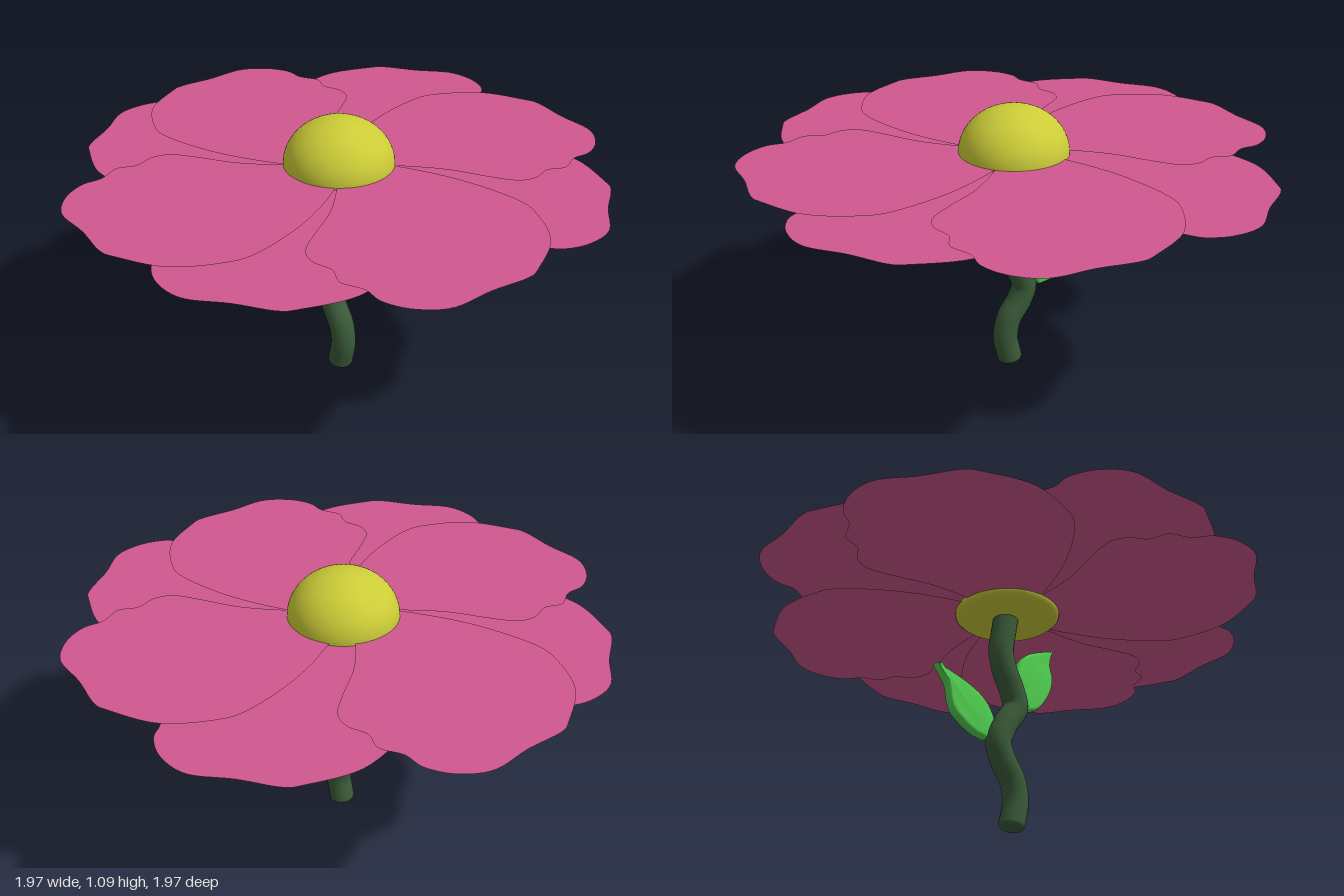
import * as THREE from 'three';
import { toCreasedNormals } from 'three/addons/utils/BufferGeometryUtils.js';

const mat = (color, side = THREE.FrontSide) => new THREE.MeshStandardMaterial({ color, side });
const petalMat = mat(0xd0588f, THREE.DoubleSide);
const centreMat = mat(0xcccc38);
const stemMat = mat(0x3a5a38);
const leafMat = mat(0x52d452);

const CX = 0.01, CZ = -0.01; // flower axis
const v2 = (pts) => pts.map(([x, y]) => new THREE.Vector2(x, y));

export function createModel() {
  const flower = new THREE.Group();
  flower.name = 'flower';
  const add = (name, geometry, material, parent = flower) => {
    const m = new THREE.Mesh(geometry, material);
    m.name = name;
    parent.add(m);
    return m;
  };

  // Petal: one ruffled, paper-thin outline, pointing away from the axis
  const petalShape = new THREE.Shape();
  petalShape.moveTo(0, -0.02);
  petalShape.splineThru(v2([
    [-0.125, 0.17], [-0.22, 0.385], [-0.265, 0.61], [-0.24, 0.73], [-0.14, 0.877],
    [0.02, 0.963], [0.09, 0.98], [0.23, 0.957], [0.38, 0.947], [0.475, 0.877],
    [0.52, 0.786], [0.516, 0.706], [0.548, 0.626], [0.52, 0.556], [0.537, 0.48],
    [0.51, 0.41], [0.42, 0.347], [0.286, 0.267], [0.152, 0.144], [0, -0.02],
  ]));
  const petalGeo = new THREE.ShapeGeometry(petalShape, 5).rotateX(-Math.PI / 2);

  // Two layers of four petals: [clockwise degrees, x shift, z shift]
  const layers = {
    upperPetals: { y: 0.912, set: [[0, 0, 0], [88, 0, -0.02], [176, 0.04, 0.01], [264, 0, 0.06]] },
    lowerPetals: { y: 0.904, set: [[45, 0, 0], [135, 0.01, -0.015], [225, 0.03, 0.01], [315, 0, 0]] },
  };
  for (const [name, { y, set }] of Object.entries(layers)) {
    const layer = new THREE.Group();
    layer.name = name;
    flower.add(layer);
    for (const [deg, dx, dz] of set) {
      const petal = add('petal', petalGeo, petalMat, layer);
      petal.position.set(CX + dx, y, CZ + dz);
      petal.rotation.y = -THREE.MathUtils.degToRad(deg);
    }
  }

  // Domed centre with a softly rounded underside
  const profile = [[0, 0.87], [0.1, 0.872], [0.17, 0.878], [0.195, 0.886], [0.206, 0.895]];
  for (let i = 0; i <= 16; i++) {
    const a = (i / 16) * Math.PI / 2;
    profile.push([0.208 * Math.cos(a), 0.908 + 0.178 * Math.sin(a)]);
  }
  profile[profile.length - 1][0] = 0;
  add('flowerCentre', new THREE.LatheGeometry(v2(profile), 48), centreMat).position.set(CX, 0, CZ);

  // Wavy stem with a rounded foot
  const stemZ = -0.005;
  const path = new THREE.CatmullRomCurve3([
    [0.028, 0.025], [0.046, 0.12], [0.03, 0.2], [-0.015, 0.27], [-0.037, 0.335], [-0.005, 0.42],
    [0.047, 0.5], [0.03, 0.57], [-0.008, 0.65], [-0.025, 0.73], [-0.015, 0.8], [0.0, 0.89],
  ].map(([x, y]) => new THREE.Vector3(x, y, stemZ)));
  add('stem', new THREE.TubeGeometry(path, 80, 0.05, 20), stemMat);
  const foot = add('stemFoot', new THREE.SphereGeometry(0.05, 20, 12), stemMat);
  foot.scale.y = 0.5;
  foot.position.set(0.028, 0.025, stemZ);
  foot.rotation.z = -0.15;

  // Leaves: thick slabs with rounded edges, each from tip to base and back
  const addLeaf = (name, tip, side1, base, side2) => {
    const s = new THREE.Shape();
    s.moveTo(...tip);
    s.splineThru(v2([...side1, base]));
    s.splineThru(v2([...side2, tip]));
    const geo = new THREE.ExtrudeGeometry(s, {
      depth: 0.021, bevelThickness: 0.012, bevelSize: 0.014, bevelOffset: -0.014,
      bevelSegments: 4, curveSegments: 6,
    });
    add(name, toCreasedNormals(geo, 0.8), leafMat).position.z = -0.044;
  };
  addLeaf('leftLeaf', [0.26, 0.825],
    [[0.125, 0.765], [0.07, 0.685], [0.06, 0.61]], [0.09, 0.51],
    [[0.17, 0.535], [0.23, 0.61], [0.255, 0.685], [0.243, 0.755]]);
  addLeaf('rightLeaf', [-0.32, 0.59],
    [[-0.18, 0.55], [-0.09, 0.5], [-0.045, 0.42]], [-0.08, 0.345],
    [[-0.15, 0.36], [-0.23, 0.41], [-0.255, 0.46], [-0.268, 0.52]]);

  return flower;
}
